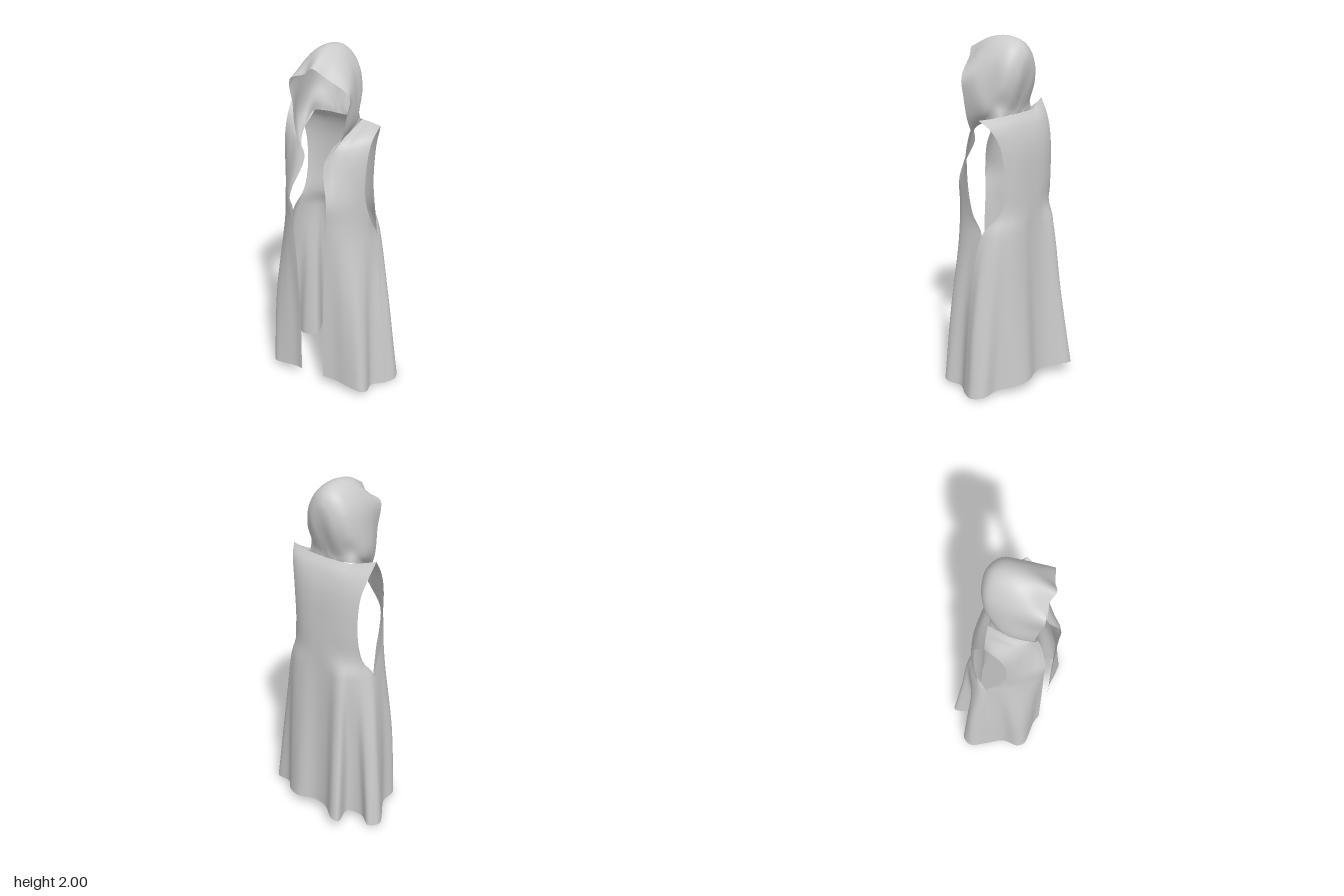
import * as THREE from 'three';

const cloth = new THREE.MeshStandardMaterial({ color: 0xcccccc, side: THREE.DoubleSide });

// Smooth surface through rows of [x, y, z] points, all rows of equal length
function loft(name, rows, perSegment = 5) {
  const smooth = (pts) => new THREE.CatmullRomCurve3(pts).getPoints((pts.length - 1) * perSegment);
  const across = rows.map((r) => smooth(r.map((p) => new THREE.Vector3(...p))));
  const columns = across[0].map((_, i) => smooth(across.map((r) => r[i])));
  const nu = columns.length, nv = columns[0].length;
  const pos = [], index = [];
  for (let j = 0; j < nv; j++) for (let i = 0; i < nu; i++) pos.push(...columns[i][j].toArray());
  for (let j = 0; j < nv - 1; j++) {
    for (let i = 0; i < nu - 1; i++) {
      const a = j * nu + i, b = a + 1, c = a + nu, d = c + 1;
      index.push(a, b, d, a, d, c);
    }
  }
  const g = new THREE.BufferGeometry();
  g.setAttribute('position', new THREE.Float32BufferAttribute(pos, 3));
  g.setIndex(index);
  g.computeVertexNormals();
  const mesh = new THREE.Mesh(g, cloth);
  mesh.name = name;
  return mesh;
}

// Row from x,z pairs, with height running from y0 to y1 and an optional rise in the middle
function row(y0, y1, xz, rise = 0) {
  const n = xz.length / 2 - 1;
  return Array.from({ length: n + 1 }, (_, i) => {
    const t = i / n;
    return [xz[2 * i], y0 + (y1 - y0) * t + rise * Math.sin(Math.PI * t) ** 2, xz[2 * i + 1]];
  });
}

// Back row from left to right armhole, spaced like the folds below it
const spacing = [1, 0.98, 0.93, 0.8, 0.6, 0.31, 0, -0.28, -0.52, -0.63, -0.72, -0.82, -0.92, -0.98, -1];
const backArc = (y, left, right, zEdge, zMid) =>
  spacing.map((t) => [(t > 0 ? left : right) * t, y, zMid + (zEdge - zMid) * Math.abs(t) ** 3]);

// Point on the shoulder seam; the right tip stands a little higher
function shoulder(x) {
  const lift = (x < 0 ? 0.035 : 0) * Math.max(0, Math.abs(x) - 0.15) / 0.135;
  return [x, 1.585 + lift, -0.06 + 0.055 * (x / 0.285) ** 2];
}

const mirror = (pts) => pts.map(([x, y, z]) => [-x, y, z]);

export function createModel() {
  const group = new THREE.Group();
  group.name = 'hoodedCloak';

  // Front panels: opening edge to side seam / armhole edge
  const chest = [
    row(1.05, 1.05, [0.112, 0.268, 0.14, 0.253, 0.175, 0.222, 0.21, 0.18, 0.235, 0.135, 0.255, 0.09, 0.268, 0.055]),
    row(1.2, 1.2, [0.115, 0.272, 0.14, 0.255, 0.17, 0.22, 0.2, 0.185, 0.225, 0.15, 0.245, 0.12, 0.256, 0.097]),
    row(1.4, 1.42, [0.063, 0.203, 0.1, 0.2, 0.13, 0.19, 0.17, 0.165, 0.21, 0.14, 0.24, 0.115, 0.265, 0.093]),
    row(1.49, 1.53, [0.115, 0.16, 0.14, 0.145, 0.165, 0.125, 0.19, 0.11, 0.22, 0.09, 0.25, 0.07, 0.275, 0.055]),
  ];
  const shoulderX = [0.15, 0.17, 0.19, 0.22, 0.24, 0.26, 0.285];
  const left = [
    row(0.06, 0, [0.075, 0.25, 0.15, 0.235, 0.24, 0.24, 0.32, 0.235, 0.34, 0.2, 0.325, 0.115, 0.375, 0.045]),
    row(0.5, 0.5, [0.082, 0.255, 0.14, 0.24, 0.21, 0.235, 0.28, 0.21, 0.3, 0.165, 0.3, 0.095, 0.33, 0.035]),
    row(0.94, 0.94, [0.105, 0.264, 0.14, 0.25, 0.18, 0.225, 0.22, 0.18, 0.25, 0.12, 0.265, 0.06, 0.273, -0.01]),
    ...chest,
    shoulderX.map(shoulder),
  ];
  const right = [
    mirror(row(0.06, 0.015, [0.07, 0.25, 0.12, 0.235, 0.2, 0.235, 0.27, 0.23, 0.3, 0.19, 0.3, 0.1, 0.36, 0])),
    mirror(row(0.5, 0.5, [0.073, 0.255, 0.12, 0.24, 0.19, 0.235, 0.26, 0.21, 0.29, 0.165, 0.295, 0.09, 0.335, 0])),
    mirror(row(0.94, 0.94, [0.098, 0.264, 0.14, 0.25, 0.18, 0.225, 0.22, 0.18, 0.255, 0.12, 0.275, 0.06, 0.29, -0.01])),
    ...chest.map(mirror),
    shoulderX.map((x) => shoulder(-x)),
  ].map((r) => r.reverse());
  group.add(loft('leftFrontPanel', left), loft('rightFrontPanel', right));

  // Back panel, with hem folds that fade out toward the shoulders
  group.add(loft('backPanel', [
    row(0, 0.015, [0.375, 0.045, 0.408, -0.025, 0.375, -0.092, 0.275, -0.11, 0.2, -0.18, 0.11, -0.215, 0, -0.19, -0.1, -0.21,
      -0.195, -0.275, -0.24, -0.268, -0.208, -0.14, -0.29, -0.11, -0.37, -0.15, -0.408, -0.09, -0.36, 0], 0.06),
    row(0.5, 0.5, [0.33, 0.035, 0.35, -0.025, 0.31, -0.085, 0.25, -0.115, 0.19, -0.16, 0.1, -0.185, 0, -0.17, -0.09, -0.183,
      -0.17, -0.222, -0.21, -0.212, -0.212, -0.145, -0.26, -0.115, -0.32, -0.12, -0.36, -0.08, -0.335, 0]),
    row(0.94, 0.94, [0.273, -0.01, 0.265, -0.05, 0.245, -0.09, 0.21, -0.12, 0.16, -0.147, 0.085, -0.16, 0, -0.156, -0.08, -0.161,
      -0.15, -0.173, -0.18, -0.168, -0.206, -0.15, -0.238, -0.126, -0.27, -0.09, -0.292, -0.05, -0.29, -0.01]),
    backArc(1.05, 0.22, 0.26, -0.08, -0.155),
    backArc(1.2, 0.193, 0.243, -0.104, -0.151),
    backArc(1.42, 0.21, 0.25, -0.096, -0.135),
    backArc(1.53, 0.25, 0.27, -0.058, -0.1),
    spacing.map((t) => shoulder(0.285 * t)),
  ]));

  // Hood: arches from the face opening back to the nape
  const arch = (half) => [...mirror(half), ...half.slice(0, -1).reverse()];
  group.add(loft('hood', [
    [[-0.063, 1.4, 0.203], [-0.12, 1.54, 0.2], [-0.118, 1.7, 0.225], [-0.115, 1.85, 0.25], [-0.04, 1.88, 0.23], [0.02, 1.925, 0.25],
      [0.08, 1.88, 0.22], [0.2, 1.785, 0.18], [0.185, 1.67, 0.18], [0.155, 1.54, 0.18], [0.063, 1.4, 0.203]],
    [[-0.1, 1.48, 0.175], [-0.16, 1.6, 0.12], [-0.15, 1.74, 0.13], [-0.13, 1.87, 0.14], [-0.065, 1.955, 0.13], [0.01, 1.985, 0.13],
      [0.08, 1.945, 0.12], [0.165, 1.84, 0.11], [0.185, 1.73, 0.1], [0.165, 1.59, 0.1], [0.1, 1.48, 0.175]],
    arch([[0.13, 1.535, 0.09], [0.165, 1.61, 0.04], [0.162, 1.74, 0.03], [0.132, 1.88, 0.02], [0.07, 1.97, 0.02], [0, 2, 0.02]]),
    arch([[0.147, 1.583, -0.03], [0.142, 1.64, -0.022], [0.142, 1.74, -0.055], [0.118, 1.86, -0.07], [0.06, 1.945, -0.075], [0, 1.97, -0.075]]),
    arch([[0.1, 1.585, -0.05], [0.1, 1.63, -0.055], [0.09, 1.7, -0.082], [0.07, 1.79, -0.11], [0.035, 1.86, -0.118], [0, 1.885, -0.12]]),
    arch([[0.05, 1.585, -0.055], [0.045, 1.6, -0.056], [0.035, 1.615, -0.06], [0.022, 1.627, -0.063], [0.01, 1.635, -0.067], [0, 1.638, -0.068]]),
    arch([0.05, 0.04, 0.03, 0.02, 0.01, 0].map((x) => [x, 1.584, -0.056])),
  ]));

  return group;
}
